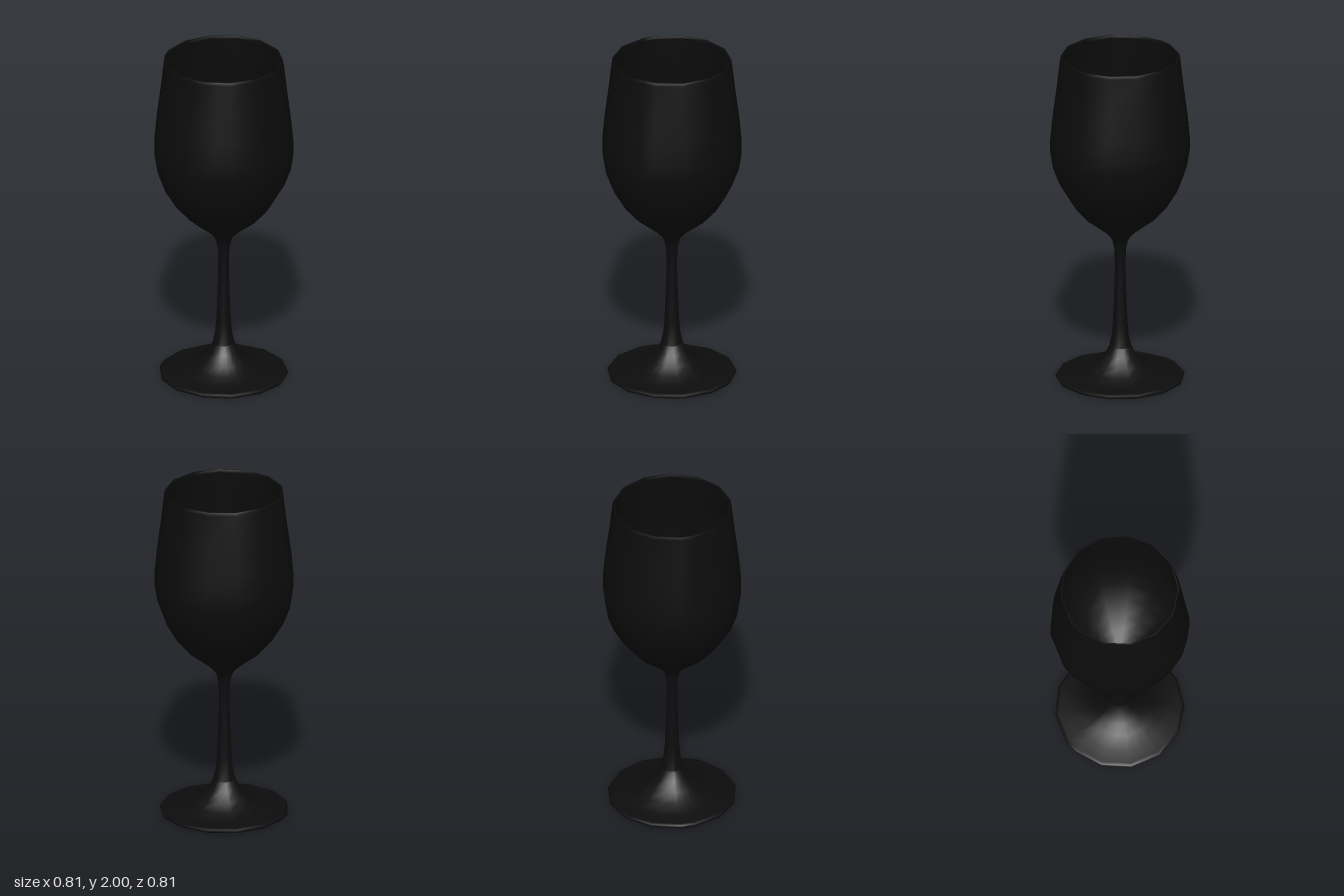
import * as THREE from 'three';

// Facet corners in degrees around the glass, clockwise from +x toward +z
const corners = [-96.3, -70, -43, -17, 10, 36.5, 63.4, 90, 117.5, 144, 171, 183, 210.3, 237];
// Extra corners that only round out the widest part of the bowl
const extras = [49.5, 76.5, 103.5, 130.5, 157.5];
const facets = [...corners, ...extras].sort((a, b) => a - b);

// Sweep a [radius, height] profile around the y axis with uneven facets
function turned(profile) {
  const positions = [];
  const index = [];
  const n = facets.length;
  profile.forEach(([r, y]) => {
    const round = y > 1.18 && y < 1.75;
    for (const degrees of facets) {
      const t = THREE.MathUtils.degToRad(degrees);
      const flat = extras.includes(degrees) ? (round ? 0.988 : 0.973) : 1;
      positions.push(r * flat * Math.cos(t), y, r * flat * Math.sin(t));
    }
  });
  for (let j = 0; j < profile.length - 1; j++) {
    for (let i = 0; i < n; i++) {
      const k = (i + 1) % n;
      const a = j * n + i, b = a + n, c = j * n + k, d = c + n;
      if (profile[j][0] > 0) index.push(a, b, c);
      if (profile[j + 1][0] > 0) index.push(c, b, d);
    }
  }
  const geometry = new THREE.BufferGeometry();
  geometry.setAttribute('position', new THREE.Float32BufferAttribute(positions, 3));
  geometry.setIndex(index);
  geometry.computeVertexNormals();
  return geometry;
}

export function createModel() {
  const group = new THREE.Group();
  const black = new THREE.MeshStandardMaterial({ color: 0x0c0c0c });
  black.name = 'black glass';

  const add = (name, profile) => {
    const mesh = new THREE.Mesh(turned(profile), black);
    mesh.name = name;
    group.add(mesh);
  };

  // Foot: shallow dimple below, thin rounded edge, flared top
  add('foot', [
    [0, 0.012], [0.05, 0.01], [0.065, 0.003], [0.2, 0.002], [0.36, 0], [0.373, 0.006],
    [0.376, 0.014], [0.372, 0.023], [0.355, 0.027], [0.28, 0.036], [0.2, 0.062],
    [0.14, 0.1], [0.09, 0.15], [0.064, 0.2],
  ]);

  // Stem
  add('stem', [
    [0.064, 0.2], [0.05, 0.26], [0.043, 0.34], [0.037, 0.48], [0.032, 0.62],
    [0.031, 0.72], [0.034, 0.8], [0.045, 0.85],
  ]);

  // Bowl: outer wall, narrow rim, inner wall down to the bottom
  add('bowl', [
    [0.045, 0.85], [0.06, 0.88], [0.09, 0.91], [0.14, 0.95], [0.205, 1.0], [0.285, 1.09],
    [0.352, 1.2], [0.39, 1.3], [0.406, 1.4], [0.406, 1.48], [0.393, 1.62], [0.37, 1.8],
    [0.349, 1.98], [0.346, 1.997], [0.342, 2], [0.337, 1.997], [0.336, 1.98],
    [0.357, 1.8], [0.38, 1.62], [0.393, 1.48], [0.393, 1.4], [0.377, 1.3], [0.339, 1.2],
    [0.272, 1.1], [0.195, 1.02], [0.13, 0.97], [0.07, 0.935], [0.03, 0.922], [0, 0.92],
  ]);

  return group;
}
